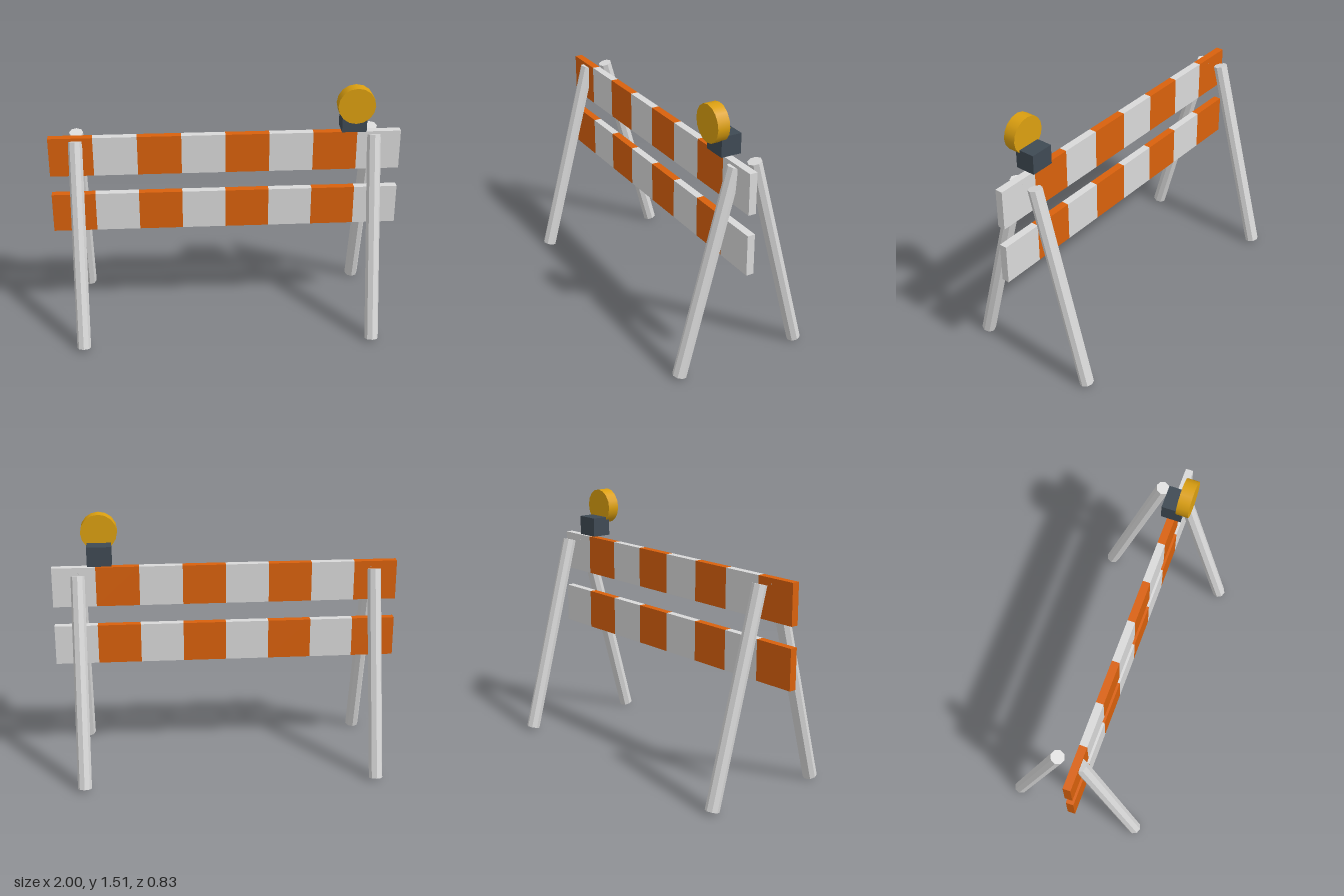
import * as THREE from 'three';

const material = (name, color, flatShading = false) => {
  const m = new THREE.MeshStandardMaterial({ color, flatShading });
  m.name = name;
  return m;
};

export function createModel() {
  const model = new THREE.Group();
  model.name = 'barricade';

  const paleGrey = material('pale grey', 0xd9d9d9, true);
  const orange = material('safety orange', 0xd9610c);
  const amber = material('amber', 0xdb9f10);
  const slate = material('dark slate', 0x3f4a54);

  const add = (name, geometry, mat, x, y, z, parent = model) => {
    const mesh = new THREE.Mesh(geometry, mat);
    mesh.name = name;
    mesh.position.set(x, y, z);
    parent.add(mesh);
    return mesh;
  };

  // Two striped boards, eight equal blocks each
  const stripe = new THREE.BoxGeometry(0.25, 0.233, 0.044);
  for (const [name, y] of [['upperBoard', 1.095], ['lowerBoard', 0.743]]) {
    const board = new THREE.Group();
    board.name = name;
    model.add(board);
    for (let i = 0; i < 8; i++) {
      const isOrange = i % 2 === 0;
      add(isOrange ? 'orangeStripe' : 'paleStripe', stripe, isOrange ? orange : paleGrey,
        -0.875 + i * 0.25, y, 0.047, board);
    }
  }

  // Four tube legs leaning towards the middle
  const tilt = THREE.MathUtils.degToRad(15);
  const tube = new THREE.CylinderGeometry(0.04, 0.04, 1.222, 8);
  for (const sx of [-1, 1]) {
    for (const sz of [-1, 1]) {
      const leg = add(`${sz > 0 ? 'front' : 'back'}${sx > 0 ? 'Left' : 'Right'}Leg`,
        tube, paleGrey, sx * 0.847, 0.601, sz * 0.22);
      leg.rotation.x = -sz * tilt;
    }
  }

  // Warning light: battery box and round lamp
  add('batteryBox', new THREE.BoxGeometry(0.14, 0.114, 0.118), slate, 0.725, 1.284, 0.049);
  const lamp = add('lamp', new THREE.CylinderGeometry(0.105, 0.105, 0.071, 16), amber, 0.725, 1.401, 0.118);
  lamp.rotation.x = Math.PI / 2;

  return model;
}
